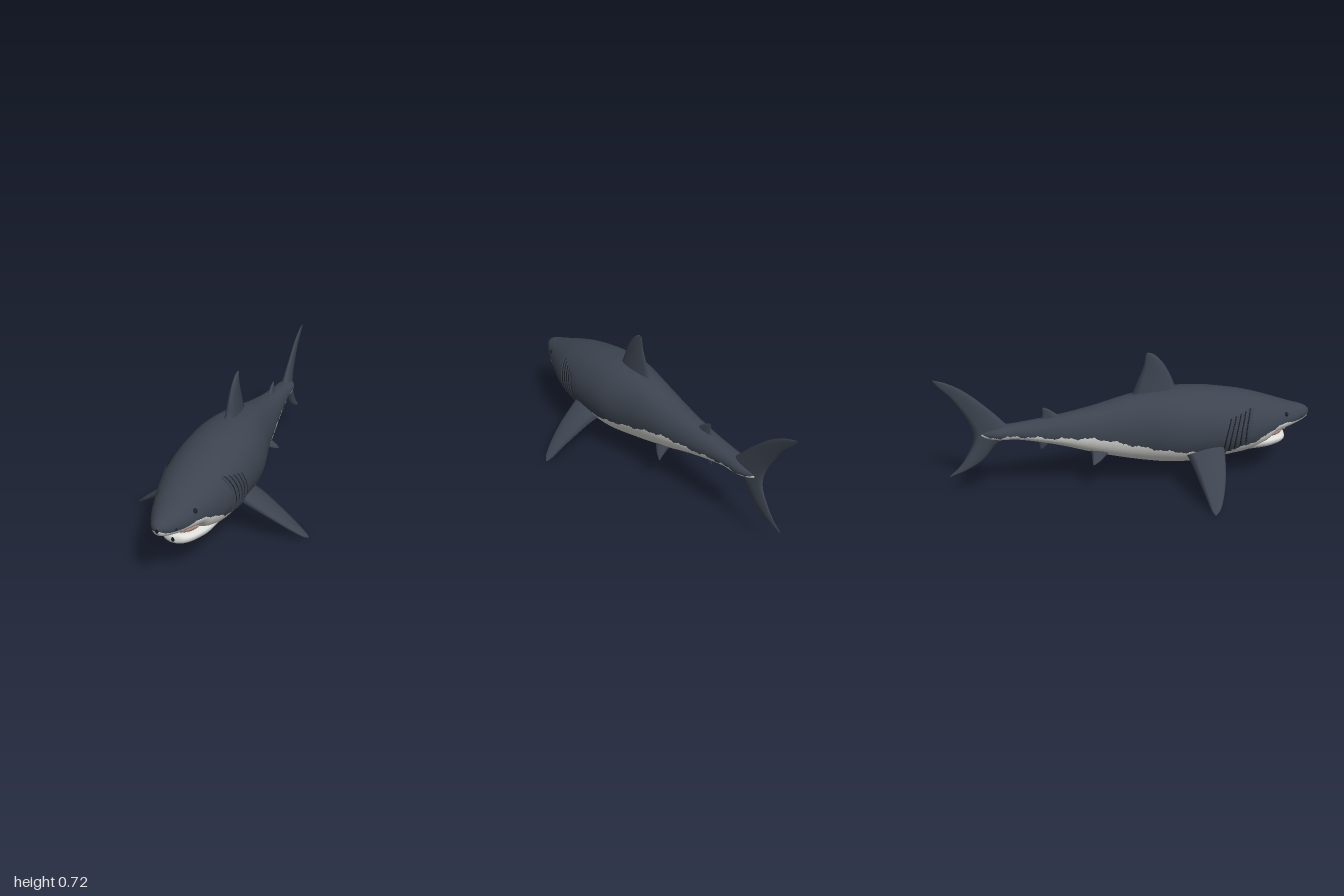
import * as THREE from 'three';

const paint = (name, color, side = THREE.FrontSide) => {
  const m = new THREE.MeshStandardMaterial({ color, side });
  m.name = name;
  return m;
};

// z, top, widest height, bottom, half width, height of the colour seam
const BODY = [
  [1, .345, .335, .325, .008, .336], [.985, .362, .335, .305, .032, .325],
  [.95, .378, .33, .288, .056, .315], [.9, .392, .325, .272, .082, .31],
  [.83, .415, .32, .255, .112, .315], [.78, .432, .315, .24, .13, .31],
  [.72, .452, .31, .185, .152, .28], [.62, .48, .305, .152, .18, .24],
  [.5, .503, .31, .135, .195, .21], [.38, .52, .315, .118, .2, .215],
  [.2, .525, .32, .118, .192, .23], [0, .5, .325, .148, .145, .265],
  [-.2, .452, .325, .198, .11, .31], [-.4, .415, .33, .26, .078, .318],
  [-.6, .39, .345, .305, .055, .335], [-.7, .38, .345, .31, .05, .335],
  [-.76, .365, .345, .32, .028, .335], [-.8, .35, .345, .338, .004, .345],
];
const JAW = [
  [.862, .222, .208, .198, .008, .2], [.855, .23, .208, .187, .038, .2],
  [.835, .235, .21, .176, .066, .2], [.8, .238, .212, .167, .09, .2],
  [.73, .248, .215, .16, .12, .2], [.62, .25, .22, .157, .135, .2],
];

// Smooth interpolation of a station table at a given z
function sample(table, z) {
  const n = table.length;
  let i = 0;
  while (i < n - 2 && z < table[i + 1][0]) i++;
  const slope = (k, c) => {
    const a = table[Math.max(k - 1, 0)], b = table[Math.min(k + 1, n - 1)];
    return (b[c] - a[c]) / (b[0] - a[0]);
  };
  const p = table[i], q = table[i + 1], h = q[0] - p[0];
  const t = Math.min(Math.max((z - p[0]) / h, 0), 1), t2 = t * t, t3 = t2 * t;
  const v = [1, 2, 3, 4, 5].map(c => (2 * t3 - 3 * t2 + 1) * p[c] + (t3 - 2 * t2 + t) * h * slope(i, c)
    + (3 * t2 - 2 * t3) * q[c] + (t3 - t2) * h * slope(i + 1, c));
  return { top: v[0], mid: v[1], bot: v[2], w: Math.max(v[3], .003), seam: v[4] };
}

// Half width of the body skin at a given z and height
function skinX(z, y) {
  const s = sample(BODY, z);
  const k = (y - s.mid) / (y > s.mid ? s.top - s.mid : s.mid - s.bot);
  return s.w * Math.pow(Math.max(1 - k * k, 0), .46);
}

// Grid of rings with a material index for each face
function skin(rings, materialAt, flip) {
  const n = rings[0].length, pos = rings.flat(2), lists = [[], []];
  for (let i = 0; i < rings.length - 1; i++) {
    for (let j = 0; j < n; j++) {
      const a = i * n + j, b = i * n + (j + 1) % n, c = a + n, d = b + n;
      lists[materialAt(i, j)].push(...(flip ? [a, c, b, b, c, d] : [a, b, c, b, d, c]));
    }
  }
  const g = new THREE.BufferGeometry();
  g.setAttribute('position', new THREE.Float32BufferAttribute(pos, 3));
  g.setIndex([...lists[0], ...lists[1]]);
  g.addGroup(0, lists[0].length, 0);
  g.addGroup(lists[0].length, lists[1].length, 1);
  g.computeVertexNormals();
  return g;
}

// Rounded hull; every ring starts on the colour seam
function hull(table, steps, ragged) {
  const rings = [], N = 22, z0 = table[0][0], z1 = table[table.length - 1][0];
  for (let i = 0; i <= steps; i++) {
    const f = i / steps, z = z0 + (z1 - z0) * (f * .8 + f * f * .2), s = sample(table, z);
    const fade = Math.min(1, Math.max(0, (.9 - z) * 5));
    const y = s.seam + ragged * fade * (Math.sin(z * 47) + .7 * Math.sin(z * 113 + 1) + .6 * Math.sin(i * 2.4));
    const k = (y - s.mid) / (y > s.mid ? s.top - s.mid : s.mid - s.bot);
    const a0 = Math.asin(Math.min(Math.max(k, -.95), .95)), ring = [];
    for (let j = 0; j < 2 * N; j++) {
      const a = j < N ? a0 + (Math.PI - 2 * a0) * j / N : Math.PI - a0 + (Math.PI + 2 * a0) * (j - N) / N;
      const c = Math.cos(a), sn = Math.sin(a);
      ring.push([s.w * Math.sign(c) * Math.pow(Math.abs(c), .92), s.mid + sn * (sn > 0 ? s.top - s.mid : s.mid - s.bot), z]);
    }
    rings.push(ring);
  }
  return skin(rings, (i, j) => (j < N ? 0 : 1), true);
}

// Fin from [leading point, trailing point, half thickness] sections
function fin(sections, normal, paleUntil = 0) {
  const K = 9, steps = 32, n = new THREE.Vector3(...normal).normalize();
  const curve = f => new THREE.CatmullRomCurve3(sections.map(f), false, 'centripetal');
  const lead = curve(s => new THREE.Vector3(...s[0])), trail = curve(s => new THREE.Vector3(...s[1]));
  const thick = curve((s, i) => new THREE.Vector3(s[2], i, 0)), rings = [];
  for (let i = 0; i <= steps; i++) {
    const l = lead.getPoint(i / steps), t = trail.getPoint(i / steps), h = thick.getPoint(i / steps).x, ring = [];
    for (let j = 0; j < 2 * K; j++) {
      const u = Math.pow((j <= K ? j : 2 * K - j) / K, 1.5);
      const off = (j <= K ? 1 : -1) * h * 2.6 * Math.sqrt(u) * (1 - u);
      ring.push(l.clone().lerp(t, u).addScaledVector(n, off).toArray());
    }
    rings.push(ring);
  }
  const span = lead.getPoint(.6).sub(lead.getPoint(.3));
  const chord = trail.getPoint(.4).sub(lead.getPoint(.4));
  const flip = chord.cross(span).dot(n) < 0;
  return skin(rings, (i, j) => (i < paleUntil * steps && j >= K && j < 2 * K - 2 ? 1 : 0), flip);
}

export function createModel() {
  const root = new THREE.Group();
  const slate = paint('slate back', 0x3d4450), pale = paint('pale belly', 0xdcdcda);
  const black = paint('dark slit', 0x1d2027), pink = paint('mouth pink', 0xa87870), ivory = paint('tooth ivory', 0xece6d8);
  const add = (name, geometry, material, parent = root) => {
    const mesh = new THREE.Mesh(geometry, material);
    mesh.name = name;
    parent.add(mesh);
    return mesh;
  };

  // Body and lower jaw
  add('body', hull(BODY, 220, .005), [slate, pale]);
  add('lowerJaw', hull(JAW, 40, 0), [pale, pale]);

  // Mouth lining and teeth
  const lining = add('mouthLining', new THREE.SphereGeometry(1, 24, 14), pink);
  lining.scale.set(.086, .028, .1);
  lining.position.set(0, .243, .745);
  const teeth = new THREE.Group();
  teeth.name = 'teeth';
  root.add(teeth);
  for (let i = 0; i < 19; i++) {
    const a = (i / 9 - 1) * 1.35;
    const x = .084 * Math.sin(a), z = .745 + .125 * Math.cos(a), s = sample(BODY, z);
    const lip = s.mid - (s.mid - s.bot) * Math.sqrt(1 - (x / s.w) ** 2);
    const upper = add('upperTooth', new THREE.ConeGeometry(.006, .022, 6), ivory, teeth);
    upper.position.set(x, lip - .006, z);
    upper.rotation.x = Math.PI;
    const lower = add('lowerTooth', new THREE.ConeGeometry(.005, .02, 6), ivory, teeth);
    lower.position.set(.076 * Math.sin(a), .238, .745 + .097 * Math.cos(a));
  }

  // Vertical fins
  add('dorsalFin', fin([
    [[0, .49, .28], [0, .47, -.02], .034], [[0, .525, .24], [0, .51, .005], .028],
    [[0, .6, .205], [0, .57, .03], .02], [[0, .67, .163], [0, .645, .06], .014],
    [[0, .715, .115], [0, .7, .072], .008], [[0, .725, .085], [0, .722, .076], .003],
  ], [1, 0, 0]), [slate, slate]);
  add('rearDorsalFin', fin([
    [[0, .39, -.34], [0, .39, -.49], .016], [[0, .42, -.39], [0, .415, -.475], .012],
    [[0, .45, -.43], [0, .445, -.47], .007], [[0, .465, -.46], [0, .463, -.47], .002],
  ], [1, 0, 0]), [slate, slate]);
  add('analFin', fin([
    [[0, .3, -.41], [0, .3, -.5], .012], [[0, .265, -.44], [0, .27, -.495], .009],
    [[0, .235, -.475], [0, .238, -.487], .002],
  ], [1, 0, 0]), [slate, slate]);
  add('tailFin', fin([
    [[0, .12, -.955], [0, .122, -.962], .002], [[0, .15, -.87], [0, .175, -.905], .006],
    [[0, .2, -.785], [0, .24, -.86], .011], [[0, .28, -.715], [0, .3, -.832], .018],
    [[0, .35, -.63], [0, .35, -.828], .026], [[0, .41, -.675], [0, .41, -.843], .02],
    [[0, .48, -.74], [0, .47, -.872], .013], [[0, .58, -.85], [0, .555, -.925], .008],
    [[0, .63, -.935], [0, .605, -.97], .005], [[0, .65, -.995], [0, .646, -1], .002],
  ], [1, 0, 0]), [slate, slate]);

  // Paired fins, eyes, nostrils and gills
  for (const s of [1, -1]) {
    const side = s > 0 ? 'left' : 'right';
    add(side + 'PectoralFin', fin([
      [[s * .13, .25, .475], [s * .13, .215, .255], .034], [[s * .2, .205, .46], [s * .2, .19, .268], .027],
      [[s * .3, .14, .435], [s * .3, .13, .285], .017], [[s * .4, .065, .395], [s * .4, .06, .303], .011],
      [[s * .455, .02, .36], [s * .455, .017, .316], .006], [[s * .472, .005, .335], [s * .472, .005, .328], .002],
    ], [s * .63, .77, 0], .82), [slate, pale]);
    add(side + 'PelvicFin', fin([
      [[s * .045, .25, -.11], [s * .045, .25, -.24], .014], [[s * .075, .215, -.14], [s * .075, .215, -.23], .01],
      [[s * .105, .185, -.185], [s * .105, .19, -.23], .006], [[s * .12, .17, -.22], [s * .12, .17, -.228], .002],
    ], [s * .75, .66, 0]), [slate, slate]);

    const eye = add(side + 'Eye', new THREE.SphereGeometry(.013, 16, 12), black);
    eye.position.set(s * (skinX(.83, .36) - .006), .36, .83);
    const nostril = add(side + 'Nostril', new THREE.SphereGeometry(.006, 10, 8), black);
    nostril.position.set(s * (skinX(.94, .325) - .002), .325, .94);

    for (let g = 0; g < 5; g++) {
      // Each slit has a raised fold of skin just ahead of it
      const path = (dz, sink) => new THREE.CatmullRomCurve3(Array.from({ length: 9 }, (_, k) => {
        const f = k / 8, y = .425 - g * .008 - f * (.17 + g * .008);
        const z = .61 - g * .029 - .03 * f - .012 * Math.sin(f * Math.PI) + dz;
        return new THREE.Vector3(s * (skinX(z, y) - sink), y, z);
      }));
      add(side + 'GillFold', new THREE.TubeGeometry(path(.008, .004), 24, .009, 8), slate);
      add(side + 'GillSlit', new THREE.TubeGeometry(path(-.002, .001), 24, .004, 6), black);
    }
  }
  return root;
}
